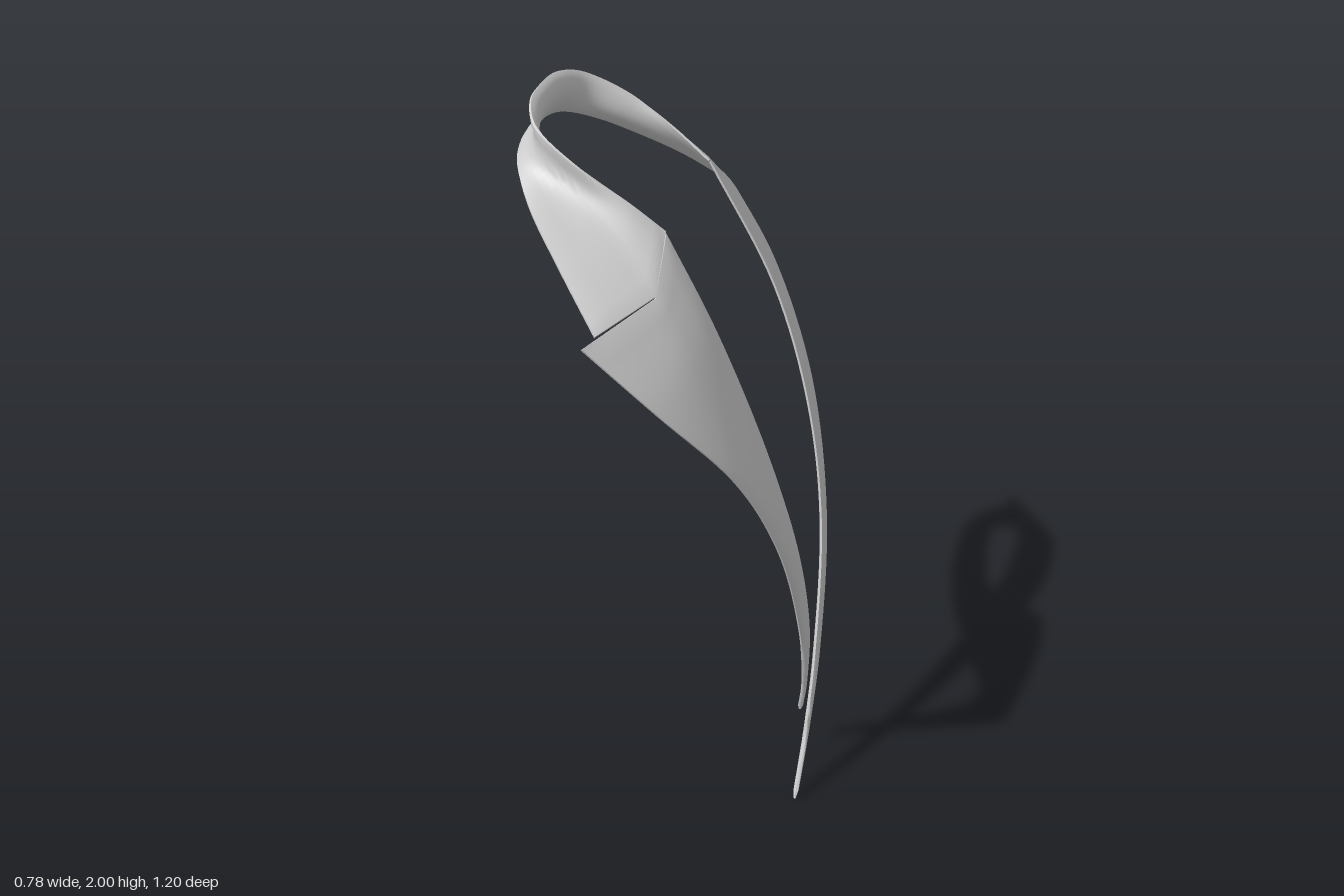
import * as THREE from 'three';
import { toCreasedNormals } from 'three/addons/utils/BufferGeometryUtils.js';

const V = (p) => new THREE.Vector3(...p);
const THICK = 0.014;

// Thin closed cloth strip lofted across three rails (inner, middle, outer).
// softness(u): 0 = straight segments with a corner at the middle rail, 1 = smooth arc.
function strip(name, rails, softness, nu, nv, material) {
  const curves = rails.map((r) => new THREE.CatmullRomCurve3(r.map(V), false, 'centripetal'));
  const at = (u, v) => {
    const [a, m, b] = curves.map((c) => c.getPoint(u));
    const bent = v < 0.5 ? a.clone().lerp(m, v * 2) : m.clone().lerp(b, v * 2 - 1);
    const arc = a.clone().multiplyScalar((1 - v) * (1 - 2 * v))
      .addScaledVector(m, 4 * v * (1 - v))
      .addScaledVector(b, v * (2 * v - 1));
    return bent.lerp(arc, softness(u));
  };
  const e = 0.004;
  const positions = [];
  for (const side of [1, -1]) {
    for (let i = 0; i <= nu; i++) {
      for (let j = 0; j <= nv; j++) {
        const u = i / nu, v = j / nv;
        const du = at(Math.min(1, u + e), v).sub(at(Math.max(0, u - e), v));
        const dv = at(u, Math.min(1, v + e)).sub(at(u, Math.max(0, v - e)));
        const n = du.cross(dv).normalize();
        // the rim is thinner than the middle, for a rounded edge
        const rim = i === 0 || i === nu || j === 0 || j === nv;
        const half = (rim ? 0.4 : 1) * THICK / 2;
        positions.push(...at(u, v).addScaledVector(n, side * half).toArray());
      }
    }
  }
  const row = nv + 1, back = (nu + 1) * row;
  const index = [];
  const quad = (a, b, c, d) => index.push(a, b, c, a, c, d);
  for (let i = 0; i < nu; i++) {
    for (let j = 0; j < nv; j++) {
      const a = i * row + j, b = a + row;
      quad(a, b, b + 1, a + 1);
      quad(a + back, a + 1 + back, b + 1 + back, b + back);
    }
    // long edges
    const a = i * row, b = a + row;
    quad(a, a + back, b + back, b);
    quad(a + nv, b + nv, b + nv + back, a + nv + back);
  }
  for (let j = 0; j < nv; j++) {
    // short ends
    const z = nu * row + j;
    quad(j, j + 1, j + 1 + back, j + back);
    quad(z, z + back, z + 1 + back, z + 1);
  }
  const geo = new THREE.BufferGeometry();
  geo.setAttribute('position', new THREE.Float32BufferAttribute(positions, 3));
  geo.setIndex(index);
  const mesh = new THREE.Mesh(toCreasedNormals(geo, 0.9), material);
  mesh.name = name;
  return mesh;
}

// Middle rail of a lapel: starts at the notch, then bulges slightly outwards.
function lapelRails(inner, outer, notch) {
  const middle = inner.map((p, i) => {
    if (i === 0) return notch;
    const m = V(p).add(V(outer[i])).multiplyScalar(0.5);
    const bulge = 0.05 * V(p).distanceTo(V(outer[i]));
    return [m.x + bulge, m.y, m.z + Math.sign(m.z) * bulge * 0.5];
  });
  return [inner, middle, outer];
}

// Full rail from the half on +z, ordered from the -z end to the +z end.
function mirrored(half, scale) {
  const other = half.slice(1).reverse().map(([x, y, z]) => [x, y, -z * scale]);
  return [...other, ...half];
}

export function createModel() {
  const group = new THREE.Group();
  group.name = 'collarWithLapels';
  const cloth = new THREE.MeshStandardMaterial({ color: 0xcccccc, side: THREE.DoubleSide });

  // Collar: stands up behind the neck and flares out to two points
  const collarInner = [[-0.36, 1.997, 0], [-0.352, 1.992, 0.1], [-0.31, 1.962, 0.19],
    [-0.2, 1.895, 0.236], [-0.09, 1.822, 0.228], [0.012, 1.742, 0.217]];
  const collarMiddle = [[-0.345, 1.943, 0], [-0.337, 1.936, 0.1], [-0.308, 1.9, 0.185],
    [-0.22, 1.835, 0.235], [-0.1, 1.75, 0.29], [0.026, 1.642, 0.365]];
  const collarOuter = [[-0.388, 1.885, 0], [-0.383, 1.881, 0.09], [-0.364, 1.863, 0.18],
    [-0.3, 1.81, 0.3], [-0.19, 1.717, 0.425], [-0.07, 1.617, 0.55]];
  group.add(strip('collar',
    [mirrored(collarInner, 1.08), mirrored(collarMiddle, 1.03), mirrored(collarOuter, 1)],
    (u) => Math.min(1, (1 - Math.abs(2 * u - 1)) * 3), 72, 12, cloth));

  // Lapels: wide at the notch, tapering and crossing near the bottom
  const lapelSoft = (u) => Math.min(1, u * 5);
  group.add(strip('leftLapel', lapelRails(
    [[0.012, 1.737, 0.217], [0.14, 1.5, 0.232], [0.268, 1.15, 0.198], [0.337, 0.84, 0.13],
      [0.362, 0.52, 0.035], [0.348, 0.27, -0.04], [0.336, 0.165, -0.064]],
    [[-0.088, 1.607, 0.597], [0.075, 1.43, 0.548], [0.235, 1.2, 0.428], [0.318, 0.93, 0.29],
      [0.352, 0.58, 0.125], [0.351, 0.28, -0.003], [0.336, 0.157, -0.046]],
    [0.024, 1.637, 0.365]), lapelSoft, 48, 10, cloth));
  group.add(strip('rightLapel', lapelRails(
    [[0.012, 1.737, -0.242], [0.19, 1.4, -0.245], [0.3, 1.08, -0.2], [0.36, 0.76, -0.13],
      [0.38, 0.415, 0], [0.378, 0.2, 0.088], [0.368, 0.012, 0.172]],
    [[-0.088, 1.605, -0.597], [0.085, 1.385, -0.552], [0.24, 1.08, -0.44], [0.343, 0.7, -0.26],
      [0.377, 0.38, -0.065], [0.376, 0.18, 0.052], [0.366, 0.003, 0.156]],
    [0.033, 1.637, -0.372]), lapelSoft, 48, 10, cloth));

  return group;
}
